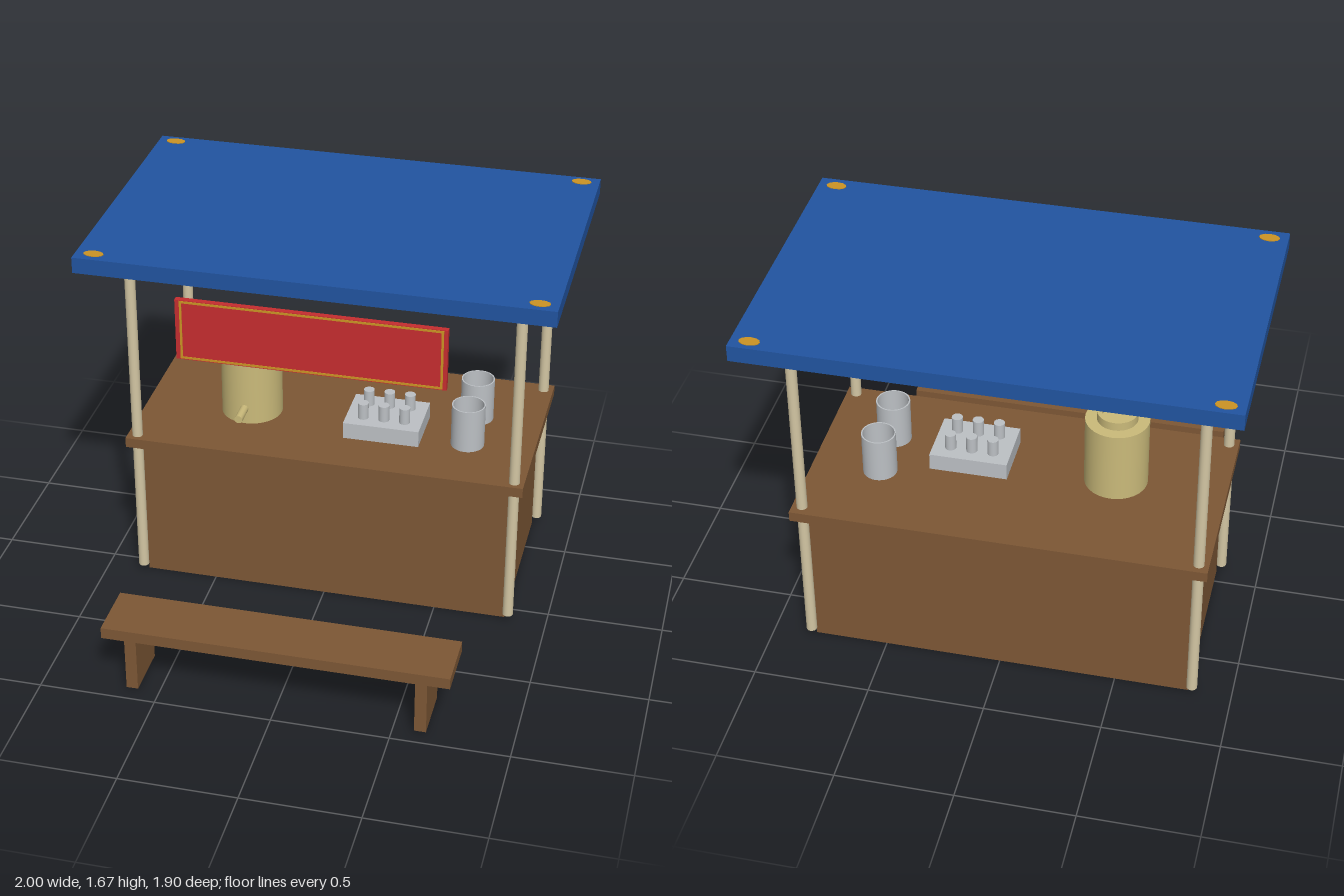
import * as THREE from 'three';

const mat = (name, color, side = THREE.FrontSide) => {
  const m = new THREE.MeshStandardMaterial({ color, side });
  m.name = name;
  return m;
};

export function createModel() {
  const root = new THREE.Group();
  root.name = 'marketStall';

  const wood = mat('brown wood', 0x7d5735);
  const blue = mat('blue canopy', 0x2154a0);
  const red = mat('red sign', 0xc62d2f);
  const gold = mat('gold trim', 0xcb9324);
  const pole = mat('pale pole', 0xd3c6a3);
  const brass = mat('brass', 0xcaba7a, THREE.DoubleSide);
  const steel = mat('steel', 0xbcc0c4, THREE.DoubleSide);

  const add = (name, geo, material, x, y, z) => {
    const m = new THREE.Mesh(geo, material);
    m.name = name;
    m.position.set(x, y, z);
    root.add(m);
    return m;
  };
  // Box given by its limits on each axis
  const box = (name, material, x0, x1, y0, y1, z0, z1) =>
    add(name, new THREE.BoxGeometry(x1 - x0, y1 - y0, z1 - z0), material,
      (x0 + x1) / 2, (y0 + y1) / 2, (z0 + z1) / 2);
  // Upright cylinder from y0 to y1
  const cyl = (name, material, r, x, y0, y1, z, sides = 24) =>
    add(name, new THREE.CylinderGeometry(r, r, y1 - y0, sides), material, x, (y0 + y1) / 2, z);
  // Hollow vessel: outer wall, rim, inner wall and inner floor
  const vessel = (name, material, r, wall, x, y0, y1, z, floor) => {
    const h = y1 - y0, i = r - wall;
    const walls = [[[0, 0], [r, 0]], [[r, 0], [r, h]], [[r, h], [i, h]], [[i, h], [i, floor]], [[i, floor], [0, floor]]];
    for (const w of walls) {
      add(name, new THREE.LatheGeometry(w.map(p => new THREE.Vector2(...p)), 28), material, x, y0, z);
    }
  };

  // Counter
  box('counterBody', wood, -0.815, 0.815, 0, 0.67, -0.705, 0.065);
  box('counterTop', wood, -0.875, 0.875, 0.67, 0.715, -0.765, 0.125);

  // Canopy, posts and corner grommets
  box('canopy', blue, -1, 1, 1.6, 1.67, -0.95, 0.31);
  for (const x of [-1, 1]) {
    for (const z of [0.084, -0.717]) cyl('post', pole, 0.023, x * 0.832, 0.035, 1.6, z, 16);
    for (const z of [0.258, -0.903]) {
      cyl('grommet', gold, 1, x * 0.922, 1.597, 1.673, z, 12).scale.set(0.043, 1, 0.026);
    }
  }

  // Hanging sign with gold border
  box('sign', red, -0.57, 0.567, 1.25, 1.525, 0.275, 0.3);
  for (const y of [1.259, 1.517]) box('signTrim', gold, -0.55, 0.55, y - 0.005, y + 0.005, 0.299, 0.302);
  for (const x of [-0.546, 0.546]) box('signTrim', gold, x - 0.005, x + 0.005, 1.254, 1.522, 0.299, 0.302);

  // Urn with neck and spout
  cyl('urnBody', brass, 0.135, -0.403, 0.715, 1.037, -0.253, 32);
  vessel('urnNeck', brass, 0.086, 0.02, -0.403, 1.037, 1.075, -0.253, 0.004);
  const spout = cyl('spout', brass, 0.018, -0.403, 0.73, 0.85, -0.08, 12);
  spout.rotation.x = Math.PI / 2;

  // Tray of cups
  box('tray', steel, 0.045, 0.38, 0.715, 0.79, -0.358, -0.1);
  for (const x of [0.12, 0.212, 0.304]) {
    for (const z of [-0.17, -0.288]) cyl('cup', steel, 0.024, x, 0.79, 0.863, z, 16);
  }

  // Canisters
  for (const z of [-0.18, -0.41]) vessel('canister', steel, 0.073, 0.006, 0.582, 0.715, 0.912, z, 0.01);

  // Bench
  box('benchSeat', wood, -0.735, 0.735, 0.255, 0.305, 0.69, 0.95);
  for (const x of [-0.615, 0.615]) box('benchLeg', wood, x - 0.025, x + 0.025, 0.008, 0.255, 0.703, 0.938);

  return root;
}
